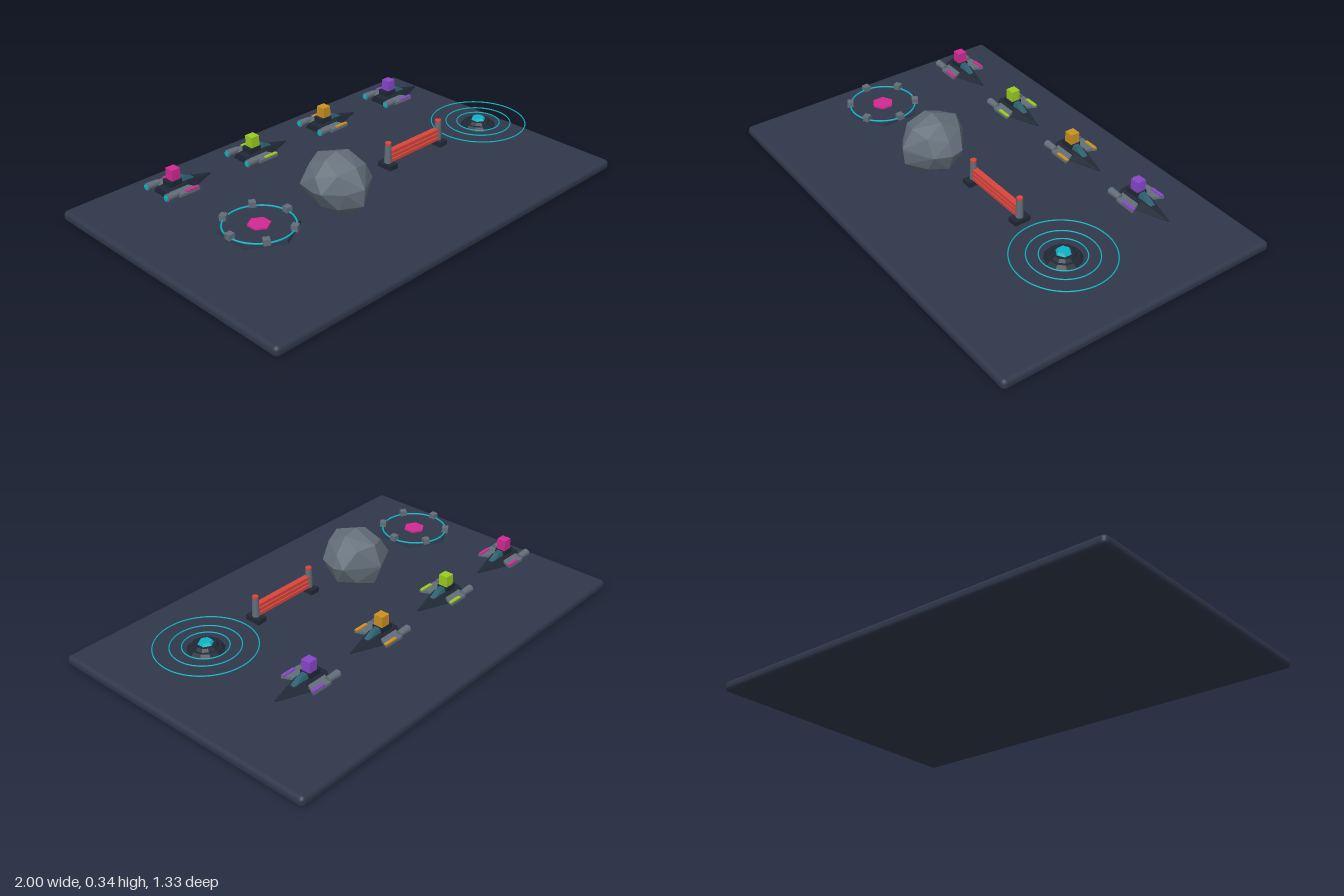
import * as THREE from 'three';
import { RoundedBoxGeometry } from 'three/addons/geometries/RoundedBoxGeometry.js';
import { ConvexGeometry } from 'three/addons/geometries/ConvexGeometry.js';

const V = (x, y, z) => new THREE.Vector3(x, y, z);

function material(name, color) {
  const m = new THREE.MeshStandardMaterial({ color });
  m.name = name;
  return m;
}

const slate = material('slate', 0x2f374a);
const dark = material('dark hull', 0x202835);
const steel = material('steel', 0x626e79);
const glass = material('teal glass', 0x2b5f6e);
const cyan = material('cyan', 0x0cb4c4);
const pink = material('pink', 0xd02a90);
const lime = material('lime', 0x9acb20);
const orange = material('orange', 0xcc9022);
const purple = material('purple', 0x8a45cc);
const red = material('red', 0xd8453c);

function add(parent, name, geometry, mat, x = 0, y = 0, z = 0) {
  const mesh = new THREE.Mesh(geometry, mat);
  mesh.name = name;
  mesh.position.set(x, y, z);
  parent.add(mesh);
  return mesh;
}

function group(parent, name, x, y, z) {
  const g = new THREE.Group();
  g.name = name;
  g.position.set(x, y, z);
  parent.add(g);
  return g;
}

const box = (w, h, d) => new THREE.BoxGeometry(w, h, d);

// Faceted upright prism
function prism(rTop, rBottom, h, sides) {
  const g = new THREE.CylinderGeometry(rTop, rBottom, h, sides).toNonIndexed();
  g.computeVertexNormals();
  return g;
}

// Flat horizontal ring
const ring = (r, tube) => new THREE.TorusGeometry(r, tube, 6, 64).rotateX(Math.PI / 2);

// Faceted body through trapezoid sections [x, bottomY, topY, bottomHalf, topHalf]
function hullBody(sections) {
  const pts = [];
  for (const [x, y0, y1, w0, w1] of sections)
    for (const s of [-1, 1]) pts.push(V(x, y0, s * w0), V(x, y1, s * w1));
  return new ConvexGeometry(pts);
}

function makeShip(parent, x, accent) {
  const ship = group(parent, 'ship', x, 0.155, -0.313);
  add(ship, 'hull', hullBody([
    [-0.065, 0.005, 0.035, 0.05, 0.028],
    [0.05, 0.003, 0.04, 0.048, 0.026],
    [0.187, 0.012, 0.016, 0.003, 0.002],
  ]), dark);
  add(ship, 'cockpit', hullBody([
    [0.02, 0.035, 0.058, 0.02, 0.013],
    [0.05, 0.035, 0.056, 0.019, 0.012],
    [0.095, 0.026, 0.034, 0.014, 0.009],
  ]), glass);
  add(ship, 'markerMount', box(0.06, 0.026, 0.05), dark, -0.005, 0.047, 0);
  add(ship, 'markerCube', box(0.042, 0.048, 0.042), accent, 0, 0.084, 0);

  for (const s of [-1, 1]) {
    // Swept wing with an accent stripe along its tip
    const wing = [[-0.05, 0.03], [0.045, 0.035], [0.068, 0.085], [-0.03, 0.085]];
    add(ship, 'wing', new ConvexGeometry(wing.flatMap(([px, pz]) =>
      [V(px, 0.015, s * pz), V(px, 0.027, s * pz)])), steel);
    add(ship, 'wingStripe', box(0.064, 0.007, 0.014), accent, 0.035, 0.029, s * 0.077);
    // Engine and glowing exhaust
    add(ship, 'engine', new THREE.CylinderGeometry(0.014, 0.017, 0.058, 10).rotateZ(-Math.PI / 2),
      steel, -0.058, 0.027, s * 0.066);
    add(ship, 'exhaust', new THREE.CylinderGeometry(0.012, 0.012, 0.006, 10).rotateZ(Math.PI / 2),
      cyan, -0.089, 0.027, s * 0.066);
  }
}

function makePad(parent) {
  const pad = group(parent, 'landingPad', -0.626, 0.155, 0.153);
  add(pad, 'padBase', prism(0.163, 0.166, 0.016, 6), slate, 0, 0.008, 0);
  add(pad, 'padRing', ring(0.146, 0.004), cyan, 0, 0.018, 0);
  add(pad, 'padCentre', prism(0.048, 0.048, 0.009, 6), pink, 0, 0.019, 0);
  for (let i = 0; i < 6; i++) {
    const a = (i * Math.PI) / 3;
    const clamp = add(pad, 'padClamp', box(0.028, 0.026, 0.028), steel,
      Math.cos(a) * 0.146, 0.027, Math.sin(a) * 0.146);
    clamp.rotation.y = -a;
  }
}

function makeAsteroid(parent) {
  // Three outline loops plus diagonal corners, wrapped in a faceted shell
  const xy = [[-0.008, 0.135], [0.061, 0.12], [0.12, 0.05], [0.145, -0.007], [0.115, -0.087], [0.05, -0.133],
    [-0.03, -0.133], [-0.093, -0.087], [-0.138, -0.007], [-0.125, 0.057], [-0.067, 0.115]];
  const xz = [[0, -0.153], [0.138, -0.055], [0.122, 0.08], [0.007, 0.154], [-0.068, 0.117], [-0.137, 0.047],
    [-0.13, -0.087]];
  const zy = [[0.107, 0.095], [0.157, 0.015], [0.15, -0.065], [0.11, -0.1], [0.077, -0.135],
    [-0.053, -0.135], [-0.116, -0.1], [-0.153, -0.005], [-0.116, 0.09]];
  const pts = [
    ...xy.map(([x, y]) => V(x, y, 0)),
    ...xz.map(([x, z]) => V(x, 0, z)),
    ...zy.map(([z, y]) => V(0, y, z)),
  ];
  for (const x of [-0.079, 0.079]) for (const y of [-0.077, 0.077]) for (const z of [-0.082, 0.082])
    pts.push(V(x, y, z));
  add(parent, 'asteroid', new ConvexGeometry(pts), steel, -0.205, 0.205, 0.153);
}

function makeBarrier(parent) {
  const barrier = group(parent, 'barrier', 0.25, 0.155, 0.153);
  for (const s of [-1, 1]) {
    add(barrier, 'barrierFoot', box(0.046, 0.022, 0.074), dark, s * 0.158, 0.011, 0);
    add(barrier, 'barrierPost', new THREE.CylinderGeometry(0.014, 0.017, 0.085, 8), steel, s * 0.158, 0.064, 0);
    add(barrier, 'barrierLamp', new THREE.CylinderGeometry(0.014, 0.014, 0.01, 8), red, s * 0.158, 0.111, 0);
  }
  add(barrier, 'barrierPanel', box(0.3, 0.052, 0.012), red, 0, 0.05, 0);
  for (const y of [0.03, 0.05, 0.07])
    add(barrier, 'barrierRail', box(0.3, 0.014, 0.026), red, 0, y, 0);
}

function makeBeacon(parent) {
  const beacon = group(parent, 'beacon', 0.687, 0.155, 0.153);
  add(beacon, 'beaconBase', prism(0.066, 0.078, 0.014, 12), dark, 0, 0.007, 0);
  add(beacon, 'beaconCollar', prism(0.044, 0.054, 0.012, 12), dark, 0, 0.02, 0);
  add(beacon, 'beaconLight', prism(0.026, 0.034, 0.012, 6), cyan, 0, 0.031, 0);
  for (const r of [0.096, 0.145, 0.212])
    add(beacon, 'pulseRing', ring(r, 0.0028), cyan, 0, 0.014, 0);
}

export function createModel() {
  const model = new THREE.Group();
  model.name = 'spaceDisplay';

  // Display board
  add(model, 'board', new RoundedBoxGeometry(2, 0.048, 1.334, 3, 0.02), slate, 0, 0.024, 0);

  [pink, lime, orange, purple].forEach((accent, i) => makeShip(model, -0.68 + i * 0.421, accent));
  makePad(model);
  makeAsteroid(model);
  makeBarrier(model);
  makeBeacon(model);
  return model;
}
